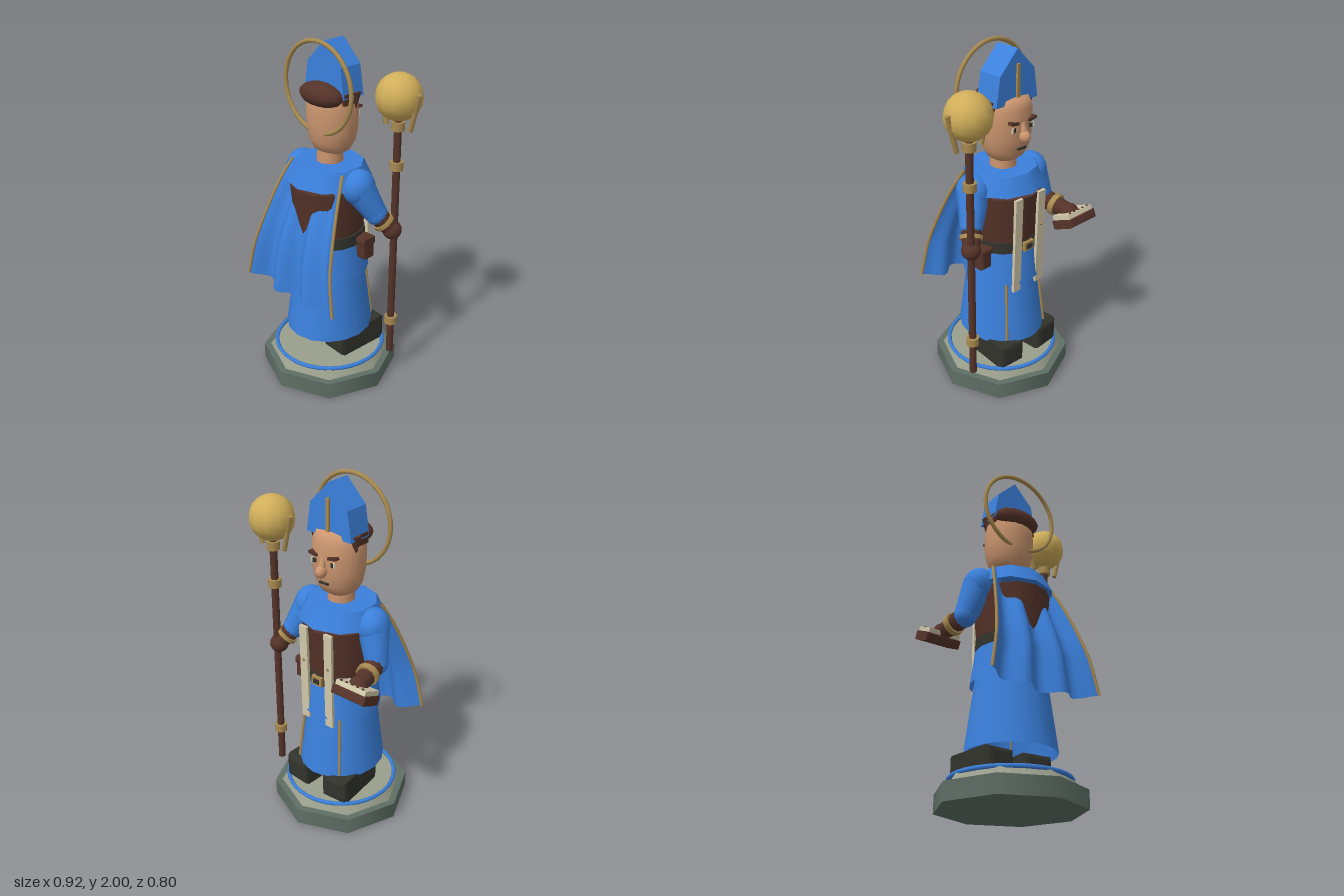
import * as THREE from 'three';

export function createModel() {
  const mat = (name, color, side = THREE.FrontSide) =>
    Object.assign(new THREE.MeshStandardMaterial({ color, side }), { name });
  const blue = mat('blue cloth', 0x3b80dc, THREE.DoubleSide);
  const brown = mat('dark brown', 0x553329);
  const charcoal = mat('charcoal', 0x33332d);
  const darkStone = mat('dark stone', 0x5f6f66);
  const lightStone = mat('light stone', 0x9a9f8c);
  const gold = mat('old gold', 0xa88a50);
  const orbGold = mat('bright gold', 0xd0ae5a);
  const skin = mat('skin', 0xcb956f);
  const cream = mat('cream', 0xd2c8aa);

  const root = new THREE.Group();
  const body = new THREE.Group();
  body.name = 'figure';
  body.position.x = -0.045;
  root.add(body);

  const V = (x, y, z) => new THREE.Vector3(x, y, z);
  const add = (name, geo, m, x = 0, y = 0, z = 0, parent = body) => {
    const mesh = new THREE.Mesh(geo, m);
    mesh.name = name;
    mesh.position.set(x, y, z);
    parent.add(mesh);
    return mesh;
  };
  const box = (name, w, h, d, m, x, y, z, parent) =>
    add(name, new THREE.BoxGeometry(w, h, d), m, x, y, z, parent);
  const ball = (name, r, m, p, sx = 1, sy = 1, sz = 1) => {
    const s = add(name, new THREE.SphereGeometry(r, 14, 10), m, p.x, p.y, p.z);
    s.scale.set(sx, sy, sz);
    return s;
  };
  // Upright ring or frustum from y0 to y1, elliptical through sx
  const frustum = (name, y0, r0, y1, r1, m, seg = 16, sx = 1, open = false) => {
    const f = add(name, new THREE.CylinderGeometry(r1, r0, y1 - y0, seg, 1, open), m, 0, (y0 + y1) / 2, 0);
    f.scale.x = sx;
    return f;
  };
  // Tapered rod between two points
  const rod = (name, a, b, ra, rb, m, seg = 10) => {
    const d = b.clone().sub(a);
    const mid = a.clone().add(b).multiplyScalar(0.5);
    const r = add(name, new THREE.CylinderGeometry(rb, ra, d.length(), seg), m, mid.x, mid.y, mid.z);
    r.quaternion.setFromUnitVectors(V(0, 1, 0), d.normalize());
    return r;
  };
  // Block with bevelled edges, centred on its position
  const block = (name, w, h, d, bevel, m, x, y, z, parent) => {
    const s = new THREE.Shape();
    const a = w / 2 - bevel, b = h / 2 - bevel;
    s.moveTo(-a, -b); s.lineTo(a, -b); s.lineTo(a, b); s.lineTo(-a, b);
    const g = new THREE.ExtrudeGeometry(s, {
      depth: d - 2 * bevel, bevelSize: bevel, bevelThickness: bevel, bevelSegments: 2 });
    g.translate(0, 0, -d / 2 + bevel);
    return add(name, g, m, x, y, z, parent);
  };

  // Pedestal
  frustum('pedestal', 0, 0.4, 0.1, 0.4, darkStone, 8);
  frustum('pedestalStep', 0.1, 0.36, 0.148, 0.33, lightStone, 8);
  add('pedestalRing', new THREE.TorusGeometry(0.32, 0.012, 6, 32), blue, 0, 0.153, 0).rotation.x = Math.PI / 2;

  // Boots, robe and torso
  for (const s of [-1, 1]) {
    block('boot', 0.165, 0.15, 0.34, 0.025, charcoal, s * 0.13, 0.225, -0.08).rotation.y = -s * 0.07;
  }
  frustum('robe', 0.29, 0.26, 0.7, 0.205, blue, 16, 0.95, true);
  frustum('tunicSkirt', 0.67, 0.232, 0.88, 0.203, blue, 16, 0.96, true);
  frustum('belt', 0.86, 0.208, 0.925, 0.206, charcoal, 16, 0.96);
  frustum('torso', 0.92, 0.2, 1.2, 0.228, brown, 14, 0.93);
  frustum('mantle', 1.22, 0.238, 1.32, 0.19, blue, 10, 1.03);
  box('buckle', 0.07, 0.055, 0.02, gold, 0, 0.892, -0.21);
  box('buckleInset', 0.04, 0.028, 0.006, charcoal, 0, 0.892, -0.222);
  block('pouch', 0.075, 0.12, 0.09, 0.015, brown, 0.215, 0.84, -0.065);
  block('pouchFlap', 0.083, 0.04, 0.098, 0.012, brown, 0.215, 0.885, -0.065);

  // Front stole bands and robe seams
  for (const s of [-1, 1]) {
    const band = box('stoleBand', 0.052, 0.58, 0.018, cream, s * 0.085, 0.915, -0.212);
    band.rotation.x = -0.02;
    add('stoleStud', new THREE.OctahedronGeometry(0.012), gold, s * 0.085, 1.0, -0.222);
    const a = 0.66;
    const at = (r, y) => V(s * Math.sin(a) * r * 0.95, y, -Math.cos(a) * r);
    rod('robeSeam', at(0.259, 0.31), at(0.213, 0.68), 0.008, 0.008, gold, 6);
  }

  // Pleated cape: rows of [height, half width, depth, pleat]
  const rows = [[1.31, 0.19, 0.09, 0], [1.19, 0.225, 0.137, 0.018], [1.08, 0.25, 0.178, 0.026],
    [0.95, 0.277, 0.226, 0.028], [0.81, 0.305, 0.265, 0.032], [0.6, 0.345, 0.283, 0.038]];
  const cols = 24;
  const capePoint = (row, u) => {
    const [y, w, z, pleat] = rows[row];
    const drop = row === rows.length - 1 ? 0.035 * (1 - u * u) : 0;
    return V(u * w, y - drop, z - pleat * Math.cos(u * Math.PI * 3));
  };
  const cape = new THREE.PlaneGeometry(1, 1, cols, rows.length - 1);
  const cp = cape.attributes.position;
  for (let i = 0; i < cp.count; i++) {
    const p = capePoint(Math.floor(i / (cols + 1)), (i % (cols + 1)) / cols * 2 - 1);
    cp.setXYZ(i, p.x, p.y, p.z);
  }
  cape.computeVertexNormals();
  add('cape', cape, blue);
  for (const s of [-1, 1]) {
    const path = new THREE.CatmullRomCurve3(rows.map((_, i) => capePoint(i, s)));
    add('capeTrim', new THREE.TubeGeometry(path, 14, 0.009, 6), gold);
  }

  // Arms: sleeve, forearm, cuff, glove
  const arm = (shoulder, elbow, hand) => {
    ball('shoulder', 0.098, blue, shoulder, 0.9, 1, 1);
    rod('sleeve', shoulder, elbow, 0.092, 0.064, blue);
    ball('elbow', 0.064, blue, elbow);
    rod('forearm', elbow, hand, 0.058, 0.046, brown);
    const mid = elbow.clone().lerp(hand, 0.42);
    rod('cuff', mid, elbow.clone().lerp(hand, 0.58), 0.064, 0.064, gold, 12);
    ball('glove', 0.054, brown, hand);
  };
  arm(V(0.218, 1.225, -0.005), V(0.29, 1.07, -0.07), V(0.352, 0.97, -0.135));
  arm(V(-0.218, 1.225, -0.005), V(-0.275, 1.035, -0.045), V(-0.305, 0.995, -0.235));

  // Book resting in the hand
  const book = new THREE.Group();
  book.name = 'book';
  book.position.set(-0.31, 0.98, -0.262);
  book.rotation.x = 0.42;
  body.add(book);
  block('bookCover', 0.214, 0.05, 0.14, 0.008, brown, 0, -0.018, 0, book);
  box('bookPages', 0.192, 0.03, 0.124, cream, 0, 0.018, 0, book);
  for (let i = 0; i < 5; i++) box('bookStud', 0.01, 0.008, 0.01, brown, -0.07 + i * 0.035, 0.036, -0.054, book);

  // Staff with orb
  const sx = 0.36, sz = -0.143;
  rod('staff', V(sx, 0.165, sz), V(sx, 1.62, sz), 0.021, 0.021, brown);
  for (const y of [0.385, 1.35, 1.57])
    add('staffRing', new THREE.CylinderGeometry(0.037, 0.037, 0.046, 10), gold, sx, y, sz);
  add('orb', new THREE.SphereGeometry(0.125, 12, 10), orbGold, sx, 1.725, sz);
  for (const s of [-1, 1])
    rod('orbProng', V(sx + s * 0.08, 1.56, sz), V(sx + s * 0.13, 1.76, sz), 0.014, 0.014, gold, 6);

  // Neck and head
  add('neck', new THREE.CylinderGeometry(0.072, 0.074, 0.12, 14), skin, 0, 1.35, -0.008);
  const profile = [[0, 1.355], [0.06, 1.363], [0.105, 1.392], [0.132, 1.44], [0.146, 1.51],
    [0.149, 1.59], [0.146, 1.66], [0.125, 1.72], [0, 1.75]].map(([r, y]) => new THREE.Vector2(r, y));
  add('head', new THREE.LatheGeometry(profile, 20), skin, 0, 0, -0.025).scale.z = 0.9;
  ball('nose', 0.034, skin, V(0, 1.525, -0.168), 0.85, 1, 1.05);
  rod('noseBridge', V(0, 1.53, -0.168), V(0, 1.6, -0.15), 0.022, 0.014, skin, 8);
  for (const s of [-1, 1]) {
    const eye = box('eyeWhite', 0.042, 0.024, 0.008, cream, s * 0.06, 1.57, -0.148);
    eye.rotation.y = s * 0.4;
    const iris = box('iris', 0.02, 0.024, 0.008, charcoal, s * 0.058, 1.57, -0.152);
    iris.rotation.y = s * 0.4;
    box('brow', 0.055, 0.014, 0.03, brown, s * 0.063, 1.607, -0.15).rotation.z = s * 0.15;
    // Side locks
    const lock = add('sideLock', new THREE.ConeGeometry(0.032, 0.13, 6), brown, s * 0.132, 1.655, -0.06);
    lock.rotation.x = Math.PI;
    box('templeHair', 0.03, 0.06, 0.1, brown, s * 0.13, 1.69, -0.02);
  }
  box('mouth', 0.06, 0.011, 0.01, charcoal, 0, 1.455, -0.149);
  ball('backHair', 1, brown, V(0, 1.7, 0.055), 0.147, 0.066, 0.077);

  // Pointed hat
  const hat = new THREE.Shape();
  [[-0.146, 1.695], [0.146, 1.695], [0.12, 1.855], [0, 1.978], [-0.12, 1.855]]
    .forEach(([x, y], i) => (i ? hat.lineTo(x, y) : hat.moveTo(x, y)));
  add('hat', new THREE.ExtrudeGeometry(hat, { depth: 0.146, bevelEnabled: false }), blue, 0, 0, -0.11);
  box('hatStripe', 0.02, 0.2, 0.014, gold, 0, 1.8, -0.114);

  // Halo behind the head
  add('halo', new THREE.TorusGeometry(0.243, 0.012, 8, 40), gold, 0, 1.74, 0.082);

  return root;
}
